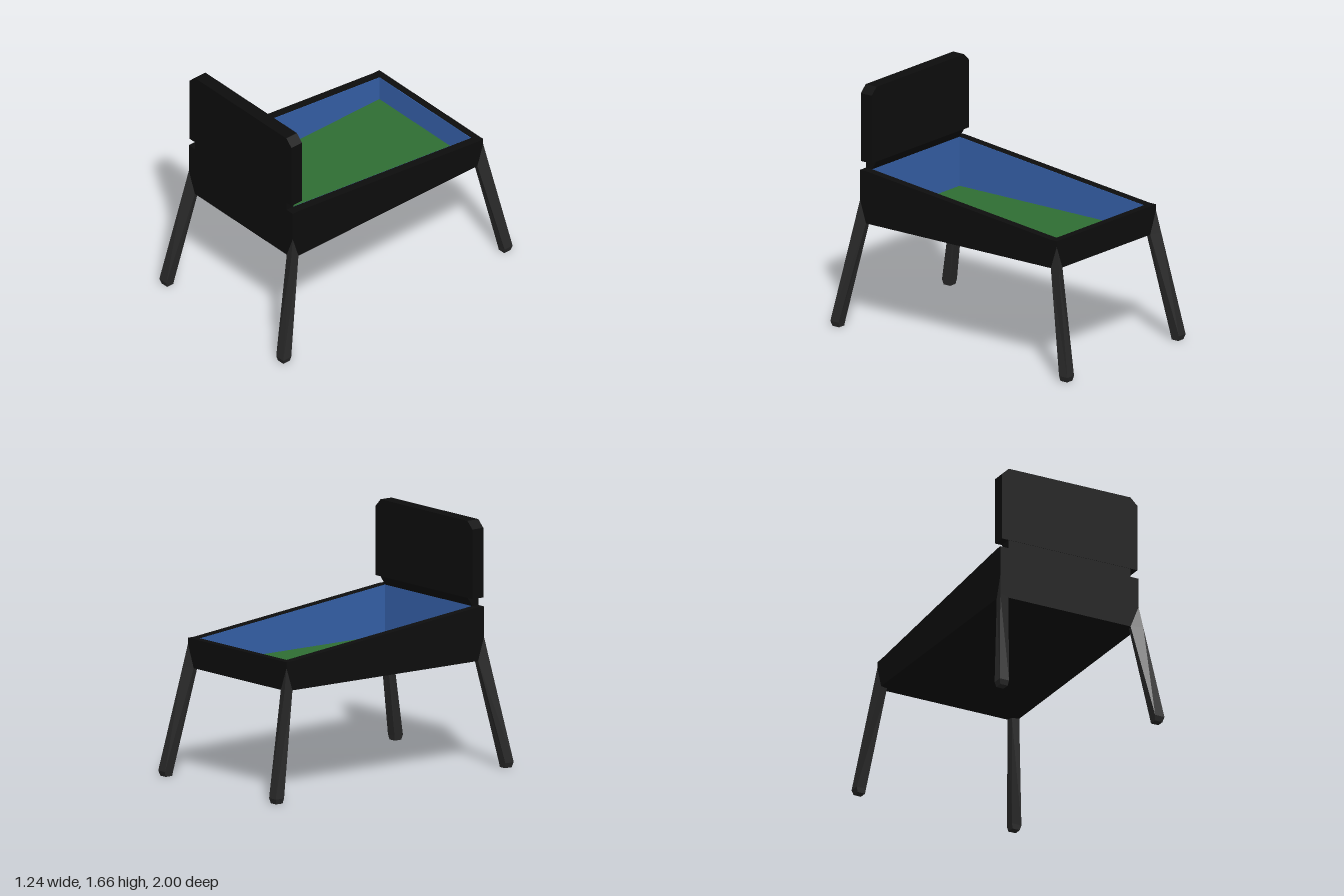
import * as THREE from 'three';

const paint = (color) => new THREE.MeshStandardMaterial({ color, flatShading: true });

function addMesh(group, name, geometry, material) {
  const mesh = new THREE.Mesh(geometry, material);
  mesh.name = name;
  group.add(mesh);
  return mesh;
}

// Side profile of [z, y] points, extruded across x and centred on cx
function slab(points, width, cx = 0) {
  const shape = new THREE.Shape(points.map(([z, y]) => new THREE.Vector2(z, y)));
  const g = new THREE.ExtrudeGeometry(shape, { depth: width, bevelEnabled: false });
  g.rotateY(-Math.PI / 2);
  return g.translate(cx + width / 2, 0, 0);
}

// Box from its minimum and maximum corners
function boxBetween(a, b) {
  const g = new THREE.BoxGeometry(b[0] - a[0], b[1] - a[1], b[2] - a[2]);
  return g.translate((a[0] + b[0]) / 2, (a[1] + b[1]) / 2, (a[2] + b[2]) / 2);
}

// Splayed four-sided leg: cross-sections from the foot up to a point on the cabinet corner
function legGeometry(sx, sz) {
  const rings = [
    [0, [[0.61, 0.99], [0.61, 0.935], [0.555, 0.935], [0.555, 0.99]]],
    [0.035, [[0.62, 1], [0.62, 0.93], [0.55, 0.93], [0.55, 1]]],
    [0.725, [[0.538, 0.861], [0.52, 0.78], [0.47, 0.79], [0.46, 0.83]]],
    [0.88, [[0.52, 0.83], [0.52, 0.83], [0.52, 0.83], [0.52, 0.83]]],
  ];
  const pos = [];
  const index = [];
  const flip = sx * sz < 0;
  const tri = (a, b, c) => (flip ? index.push(a, c, b) : index.push(a, b, c));
  for (const [y, ring] of rings) for (const [x, z] of ring) pos.push(sx * x, y, sz * z);
  for (let r = 0; r < rings.length - 1; r++) {
    for (let i = 0; i < 4; i++) {
      const a = r * 4 + i;
      const b = r * 4 + ((i + 1) % 4);
      tri(a, b, b + 4);
      if (r < rings.length - 2) tri(a, b + 4, a + 4);
    }
  }
  tri(0, 2, 1);
  tri(0, 3, 2);
  const g = new THREE.BufferGeometry();
  g.setAttribute('position', new THREE.Float32BufferAttribute(pos, 3));
  g.setIndex(index);
  const flat = g.toNonIndexed();
  flat.computeVertexNormals();
  return flat;
}

export function createModel() {
  const model = new THREE.Group();
  model.name = 'slopedTable';
  const black = paint(0x0d0d0d);
  const dark = paint(0x292929);
  const blue = paint(0x3560a8);
  const green = paint(0x2f6e33);

  // Open cabinet with a sloping rim
  const cabinet = new THREE.Group();
  cabinet.name = 'cabinet';
  model.add(cabinet);
  const wall = [[-0.83, 0.725], [0.83, 0.725], [0.83, 1.085], [0.78, 1.085], [-0.78, 0.92], [-0.83, 0.92]];
  const lining = [[-0.78, 0.74], [0.78, 0.74], [0.78, 1.083], [-0.78, 0.918]];
  for (const s of [-1, 1]) {
    const side = s > 0 ? 'left' : 'right';
    addMesh(cabinet, side + 'Wall', slab(wall, 0.06, s * 0.49), black);
    addMesh(cabinet, side + 'Lining', slab(lining, 0.004, s * 0.458), blue);
  }
  addMesh(cabinet, 'frontWall', boxBetween([-0.46, 0.725, 0.78], [0.46, 1.085, 0.83]), black);
  addMesh(cabinet, 'backWall', boxBetween([-0.46, 0.725, -0.83], [0.46, 0.92, -0.78]), black);
  addMesh(cabinet, 'frontLining', boxBetween([-0.458, 0.74, 0.776], [0.458, 1.083, 0.78]), blue);
  addMesh(cabinet, 'backLining', boxBetween([-0.458, 0.74, -0.78], [0.458, 0.918, -0.776]), blue);
  addMesh(cabinet, 'bottom', boxBetween([-0.46, 0.725, -0.78], [0.46, 0.738, 0.78]), black);
  addMesh(cabinet, 'playfield', boxBetween([-0.458, 0.738, -0.778], [0.458, 0.746, 0.778]), green);

  // Upright panel with clipped top corners, on a narrower flared neck
  addMesh(model, 'neck', slab([[0.83, 1.08], [0.83, 1.145], [0.74, 1.145], [0.78, 1.08]], 0.92), black);
  const outline = [[-0.51, 1.143], [0.51, 1.143], [0.51, 1.61], [0.458, 1.66], [-0.458, 1.66], [-0.51, 1.61]];
  const panelShape = new THREE.Shape(outline.map(([x, y]) => new THREE.Vector2(x, y)));
  const panel = new THREE.ExtrudeGeometry(panelShape, { depth: 0.092, bevelEnabled: false });
  addMesh(model, 'uprightPanel', panel.translate(0, 0, 0.74), black);

  // Four splayed legs
  for (const sx of [-1, 1]) {
    for (const sz of [-1, 1]) {
      const name = (sz > 0 ? 'front' : 'back') + (sx > 0 ? 'Left' : 'Right') + 'Leg';
      addMesh(model, name, legGeometry(sx, sz), dark);
    }
  }
  return model;
}
